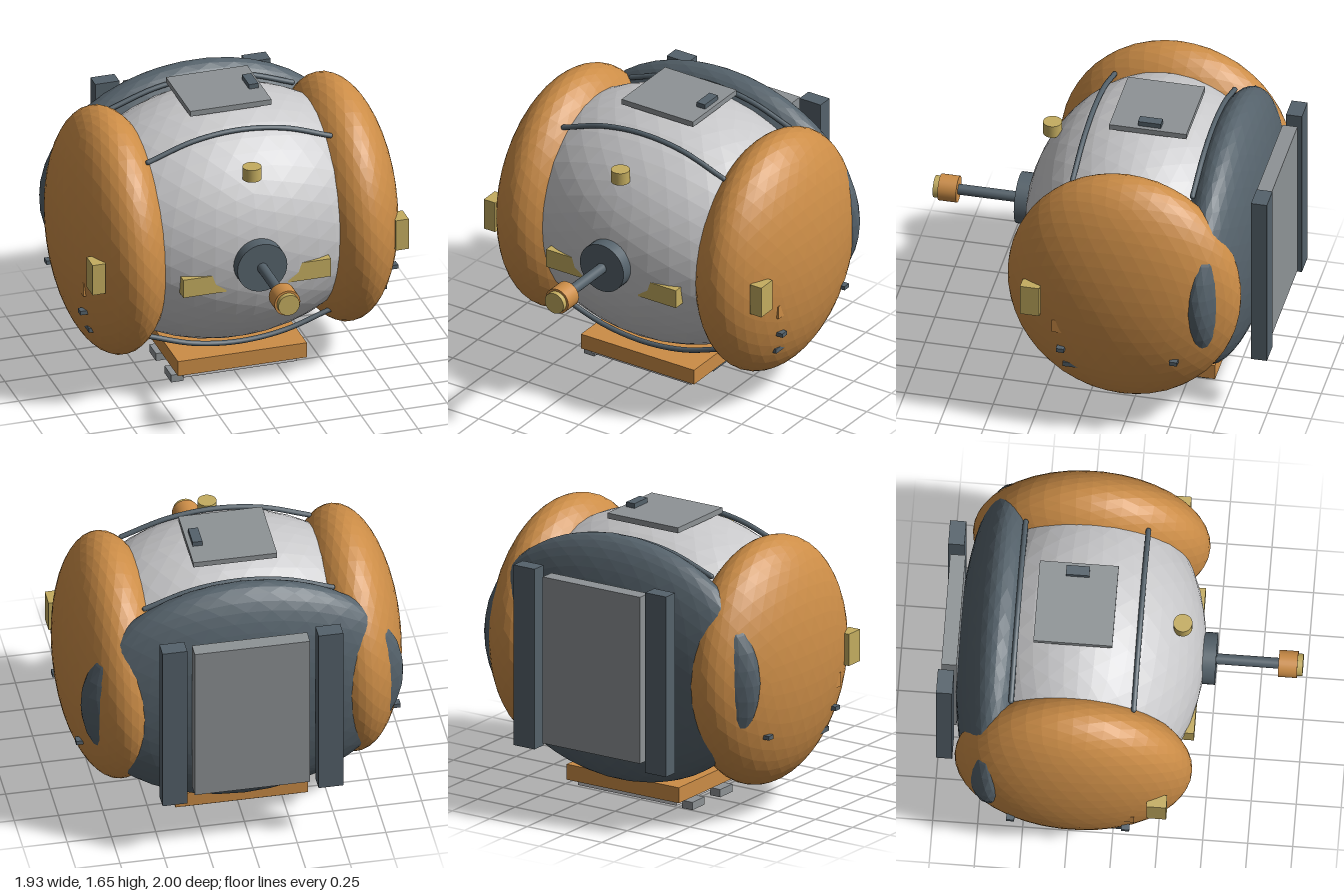
import * as THREE from 'three';

const mat = (name, color) => {
  const m = new THREE.MeshStandardMaterial({ color });
  m.name = name;
  return m;
};

export function createModel() {
  const root = new THREE.Group();
  root.name = 'spacePod';
  const hullGrey = mat('hull grey', 0xc8c8ca);
  const panelGrey = mat('panel grey', 0x8e9396);
  const orange = mat('orange', 0xcc8d47);
  const slate = mat('dark slate', 0x55626b);
  const yellow = mat('lamp yellow', 0xc4ad60);

  const add = (name, geo, material) => {
    const mesh = new THREE.Mesh(geo, material);
    mesh.name = name;
    root.add(mesh);
    return mesh;
  };
  // box given by its limits on each axis
  const box = (name, material, [x0, x1], [y0, y1], [z0, z1]) =>
    add(name, new THREE.BoxGeometry(x1 - x0, y1 - y0, z1 - z0), material)
      .position.set((x0 + x1) / 2, (y0 + y1) / 2, (z0 + z1) / 2);
  // faceted ellipsoid
  const ellipsoid = (name, material, center, radii) => {
    const geo = new THREE.IcosahedronGeometry(1, 7);
    geo.scale(...radii);
    geo.computeVertexNormals();
    add(name, geo, material).position.set(...center);
  };
  // cylinder lying along z
  const rodZ = (name, material, r, z0, z1) => {
    const geo = new THREE.CylinderGeometry(r, r, z1 - z0, 32).rotateX(Math.PI / 2);
    add(name, geo, material).position.set(0, 0.885, (z0 + z1) / 2);
  };
  const mirrored = (name, material, [x0, x1], y, z) => {
    box(name + 'Left', material, [x0, x1], y, z);
    box(name + 'Right', material, [-x1, -x0], y, z);
  };

  // hull, side pods and rear pack
  ellipsoid('hull', hullGrey, [0, 0.89, -0.22], [0.92, 0.72, 0.68]);
  ellipsoid('sidePodLeft', orange, [0.66, 0.865, -0.225], [0.305, 0.71, 0.66]);
  ellipsoid('sidePodRight', orange, [-0.66, 0.865, -0.225], [0.305, 0.71, 0.66]);
  ellipsoid('rearPack', slate, [0, 0.88, -0.68], [0.91, 0.71, 0.24]);

  // rear panel between two columns
  box('rearPanel', panelGrey, [-0.325, 0.325], [0.4, 1.37], [-0.985, -0.9]);
  mirrored('rearColumn', slate, [0.37, 0.51], [0.36, 1.41], [-1, -0.91]);

  // curved rails over and under the hull
  for (const z of [0.1, -0.582]) {
    for (const [name, yEnd, yMid] of [['upperRail', 1.42, 1.54], ['lowerRail', 0.34, 0.225]]) {
      const pts = [-1, -0.5, 0, 0.5, 1].map((t) =>
        new THREE.Vector3(t * 0.53, yMid + (yEnd - yMid) * t * t, z));
      const path = new THREE.CatmullRomCurve3(pts);
      add(name, new THREE.TubeGeometry(path, 24, 0.015, 10), slate);
      for (const end of [pts[0], pts[4]]) {
        add(name + 'End', new THREE.SphereGeometry(0.015, 10, 8), slate).position.copy(end);
      }
    }
  }

  // top hatch
  box('topHatch', panelGrey, [-0.238, 0.235], [1.59, 1.622], [-0.48, -0.042]);
  box('topHatchHandle', slate, [0.155, 0.21], [1.615, 1.65], [-0.33, -0.2]);

  // bottom hatch with handle and hinges
  box('bottomFrame', orange, [-0.375, 0.375], [0.095, 0.185], [-0.675, 0.16]);
  box('bottomDoor', hullGrey, [-0.33, 0.33], [0.06, 0.1], [-0.63, 0.12]);
  box('bottomDoorPanel', panelGrey, [-0.24, 0.24], [0.045, 0.065], [-0.52, 0.02]);
  box('bottomHandle', slate, [0.24, 0.29], [0, 0.062], [-0.345, -0.165]);
  for (const z of [0.04, -0.235, -0.51]) {
    box('bottomHinge', panelGrey, [-0.395, -0.325], [0.03, 0.075], [z - 0.06, z + 0.06]);
  }

  // front boom
  rodZ('boomBase', slate, 0.145, 0.415, 0.52);
  rodZ('boomRod', slate, 0.03, 0.5, 0.88);
  rodZ('boomCollar', orange, 0.075, 0.865, 0.97);
  rodZ('boomTip', yellow, 0.062, 0.96, 1);

  // lamps
  add('topLamp', new THREE.CylinderGeometry(0.053, 0.053, 0.075, 24), yellow).position.set(0, 1.388, 0.332);
  mirrored('frontLamp', yellow, [0.18, 0.43], [0.72, 0.83], [0.3, 0.427]);
  mirrored('sideLamp', yellow, [0.845, 0.92], [0.757, 0.942], [0.2, 0.31]);

  // small fittings on the side pods
  mirrored('frontStud', slate, [0.87, 0.925], [0.533, 0.557], [0.06, 0.105]);
  mirrored('rearStud', slate, [0.86, 0.915], [0.533, 0.557], [-0.58, -0.535]);
  mirrored('lowerStep', slate, [0.8, 0.867], [0.403, 0.43], [-0.03, 0.08]);
  mirrored('sidePlate', orange, [0.85, 0.916], [0.66, 0.74], [0.0, 0.13]);

  return root;
}
